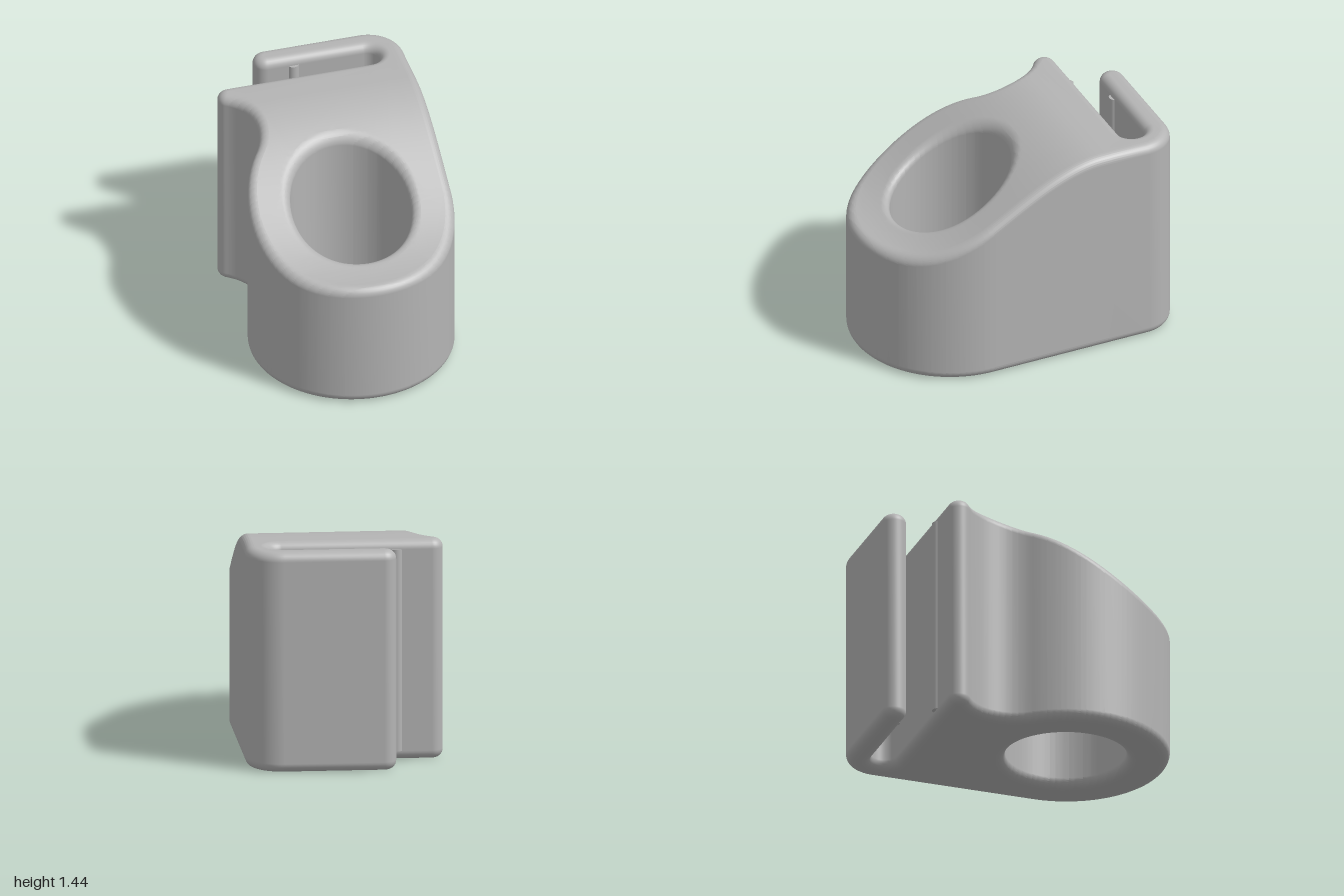
import * as THREE from 'three';
import { mergeVertices } from 'three/addons/utils/BufferGeometryUtils.js';

const HEIGHT = 1.445;   // height of the clip end
const FRONT = 0.89;     // height of the front rim
const ROUND = 0.06;     // edge rounding

// Height of the sloping top at depth z
function topHeight(z) {
  return FRONT + (HEIGHT - FRONT) * THREE.MathUtils.smoothstep(0.95 - z, 0, 1.4);
}

// Add an arc (degrees) to a point list, skipping near-duplicates
function arc(points, cx, cy, r, from, to, steps) {
  for (let i = 0; i <= steps; i++) {
    const a = THREE.MathUtils.degToRad(from + (to - from) * i / steps);
    const p = new THREE.Vector2(cx + r * Math.cos(a), cy + r * Math.sin(a));
    if (points.every((q) => q.distanceTo(p) > 0.003)) points.push(p);
  }
}

// Cut triangles along planes of constant y so a flat cap can bend
function splitAlongY(positions, levels) {
  let tris = [];
  for (let i = 0; i < positions.count; i += 3) {
    tris.push([0, 1, 2].map((k) => new THREE.Vector3().fromBufferAttribute(positions, i + k)));
  }
  for (const level of levels) {
    const next = [];
    for (const tri of tris) {
      const d = tri.map((v) => (Math.abs(v.y - level) < 1e-4 ? 0 : v.y - level));
      if (Math.min(...d) >= 0 || Math.max(...d) <= 0) { next.push(tri); continue; }
      const sides = [[], []];
      for (let k = 0; k < 3; k++) {
        const n = (k + 1) % 3;
        if (d[k] >= 0) sides[0].push(tri[k]);
        if (d[k] <= 0) sides[1].push(tri[k]);
        if (d[k] * d[n] < 0) {
          const cut = tri[k].clone().lerp(tri[n], d[k] / (d[k] - d[n]));
          sides[0].push(cut);
          sides[1].push(cut);
        }
      }
      for (const s of sides) {
        for (let k = 1; k + 1 < s.length; k++) next.push([s[0], s[k], s[k + 1]]);
      }
    }
    tris = next;
  }
  return new THREE.BufferGeometry().setFromPoints(tris.flat());
}

function bodyGeometry() {
  // Plan outline, drawn with y pointing to the back
  const outline = [];
  arc(outline, 0.43, 0.765, 0.235, 0, 90, 20);          // back corner
  arc(outline, -0.215, 0.92, 0.08, 90, 270, 24);        // clip arm tip
  arc(outline, 0.42, 0.755, 0.085, 90, -90, 24);        // slot end
  arc(outline, -0.55, 0.596, 0.074, 90, 237, 20);       // lip tip
  arc(outline, -0.758, 0.275, 0.308, 57, -38.8, 28);    // finger cove
  arc(outline, 0, -0.335, 0.665, 141.2, 360, 80);       // round front
  const hole = [];
  arc(hole, 0, -0.33, 0.39, 0, -360, 80);

  const shape = new THREE.Shape(outline);
  shape.holes.push(new THREE.Path(hole));
  const block = new THREE.ExtrudeGeometry(shape, {
    depth: HEIGHT - 2 * ROUND, steps: 1,
    bevelThickness: ROUND, bevelSize: ROUND, bevelOffset: -ROUND, bevelSegments: 7,
  });

  const levels = Array.from({ length: 38 }, (_, i) => -0.96 + i * 0.04);
  let geometry = splitAlongY(block.getAttribute('position'), levels);
  geometry.translate(0, 0, ROUND).rotateX(-Math.PI / 2);

  // Bend the upper half down to the sloping top
  const pos = geometry.getAttribute('position');
  for (let i = 0; i < pos.count; i++) {
    if (pos.getY(i) > HEIGHT / 2) {
      pos.setY(i, pos.getY(i) + topHeight(pos.getZ(i)) - HEIGHT);
    }
  }
  geometry = mergeVertices(geometry, 1e-5);
  geometry.computeVertexNormals();
  return geometry;
}

export function createModel() {
  const grey = new THREE.MeshStandardMaterial({ color: 0xb4b4b4 });
  grey.name = 'grey plastic';
  const model = new THREE.Group();
  model.name = 'clipOnHolder';

  const body = new THREE.Mesh(bodyGeometry(), grey);
  body.name = 'body';
  model.add(body);

  // Small gripping ribs inside the slot
  const ribLength = HEIGHT - 2 * ROUND;
  for (const [name, x, z] of [['lipRib', -0.32, -0.655], ['armRib', -0.045, -0.857]]) {
    const rib = new THREE.Mesh(new THREE.CylinderGeometry(0.038, 0.038, ribLength, 24), grey);
    rib.name = name;
    rib.position.set(x, HEIGHT / 2, z);
    model.add(rib);
  }
  return model;
}
